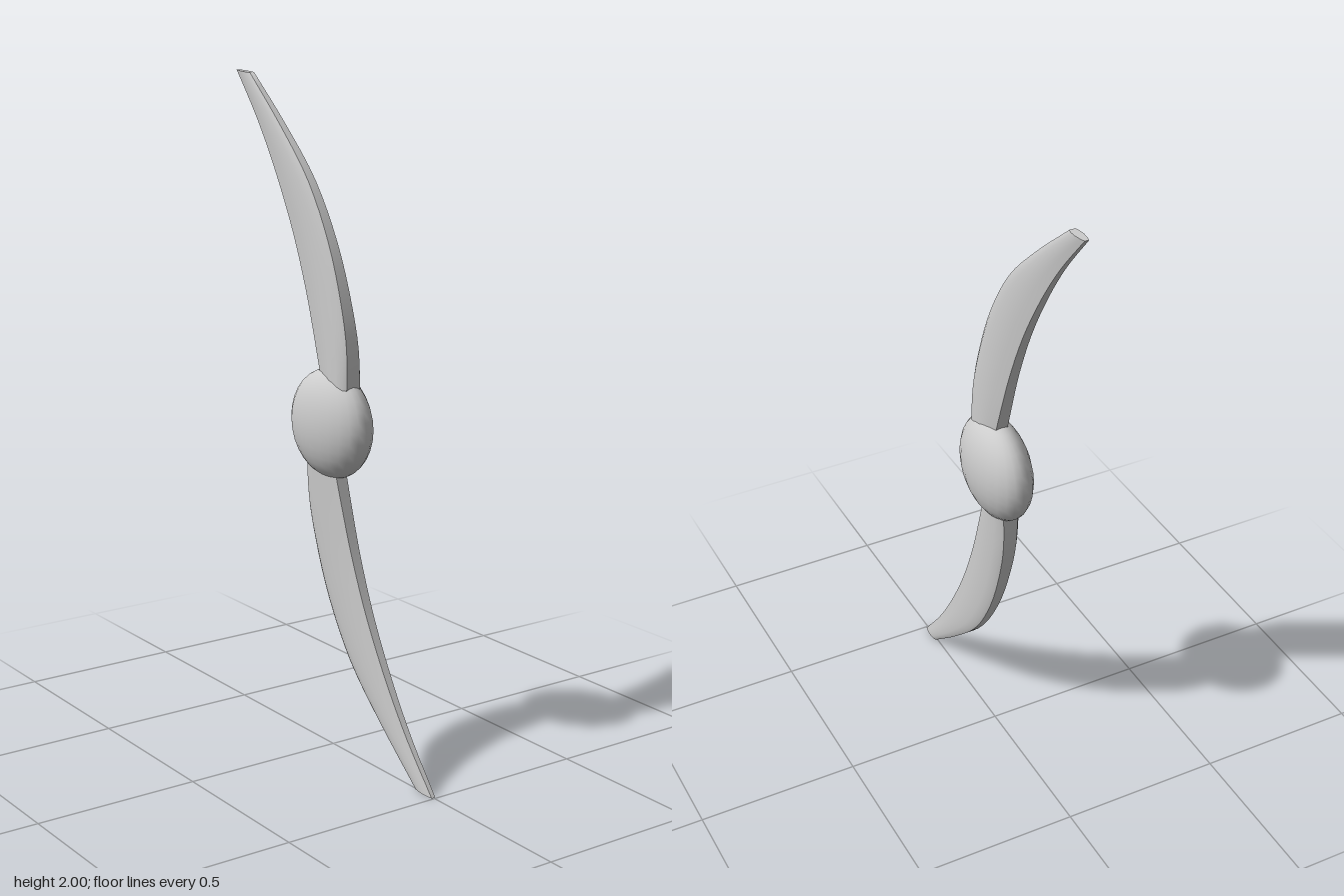
import * as THREE from 'three';
import { toCreasedNormals } from 'three/addons/utils/BufferGeometryUtils.js';

const STEPS = 24;
const curve = (pts) => new THREE.CatmullRomCurve3(pts.map(([x, y]) => new THREE.Vector3(x, y, 0)));

// Blade edges, measured from the hub centre
const leading = curve([[0.1, 0.08], [0.096, 0.235], [0.063, 0.37], [0, 0.53], [-0.106, 0.7], [-0.254, 0.85], [-0.42, 0.995]]);
const trailing = curve([[-0.02, 0.08], [-0.068, 0.235], [-0.117, 0.38], [-0.19, 0.55], [-0.285, 0.72], [-0.38, 0.86], [-0.495, 1]]);

// Blunt-edged lens section: [position along chord, share of half thickness]
const upper = [[1, 0.6], [0.85, 0.82], [0.5, 0.97], [0, 1], [-0.5, 0.82], [-1, 0.5]];
const section = [...upper, ...upper.map(([u, w]) => [u, -w]).reverse()];

function bladeGeometry() {
  const pos = [], index = [], n = section.length;
  for (let i = 0; i <= STEPS; i++) {
    const t = i / STEPS;
    const a = trailing.getPoint(t), b = leading.getPoint(t);
    const half = THREE.MathUtils.lerp(0.04, 0.013, t);
    for (const [u, w] of section) {
      const p = a.clone().lerp(b, (u + 1) / 2);
      pos.push(p.x, p.y, -w * half);
    }
  }
  for (let i = 0; i < STEPS; i++) {
    for (let j = 0; j < n; j++) {
      const k = (j + 1) % n, r = i * n, s = r + n;
      index.push(r + j, r + k, s + k, r + j, s + k, s + j);
    }
  }
  // Close the root and the tip
  const top = STEPS * n;
  for (let j = 1; j < n - 1; j++) {
    index.push(top, top + j, top + j + 1, 0, j + 1, j);
  }
  const geo = new THREE.BufferGeometry();
  geo.setAttribute('position', new THREE.Float32BufferAttribute(pos, 3));
  geo.setIndex(index);
  return toCreasedNormals(geo, THREE.MathUtils.degToRad(42));
}

export function createModel() {
  const model = new THREE.Group();
  model.name = 'propeller';
  const material = new THREE.MeshStandardMaterial({ color: 0xcccccc });

  // Flattened round hub
  const hub = new THREE.Mesh(new THREE.SphereGeometry(1, 24, 16), material);
  hub.name = 'hub';
  hub.scale.set(0.172, 0.163, 0.085);
  hub.position.set(-0.008, 1, 0);
  model.add(hub);

  // Two swept blades, half a turn apart
  const geo = bladeGeometry();
  ['upperBlade', 'lowerBlade'].forEach((name, i) => {
    const blade = new THREE.Mesh(geo, material);
    blade.name = name;
    blade.position.y = 1;
    blade.rotation.z = i * Math.PI;
    model.add(blade);
  });
  return model;
}
